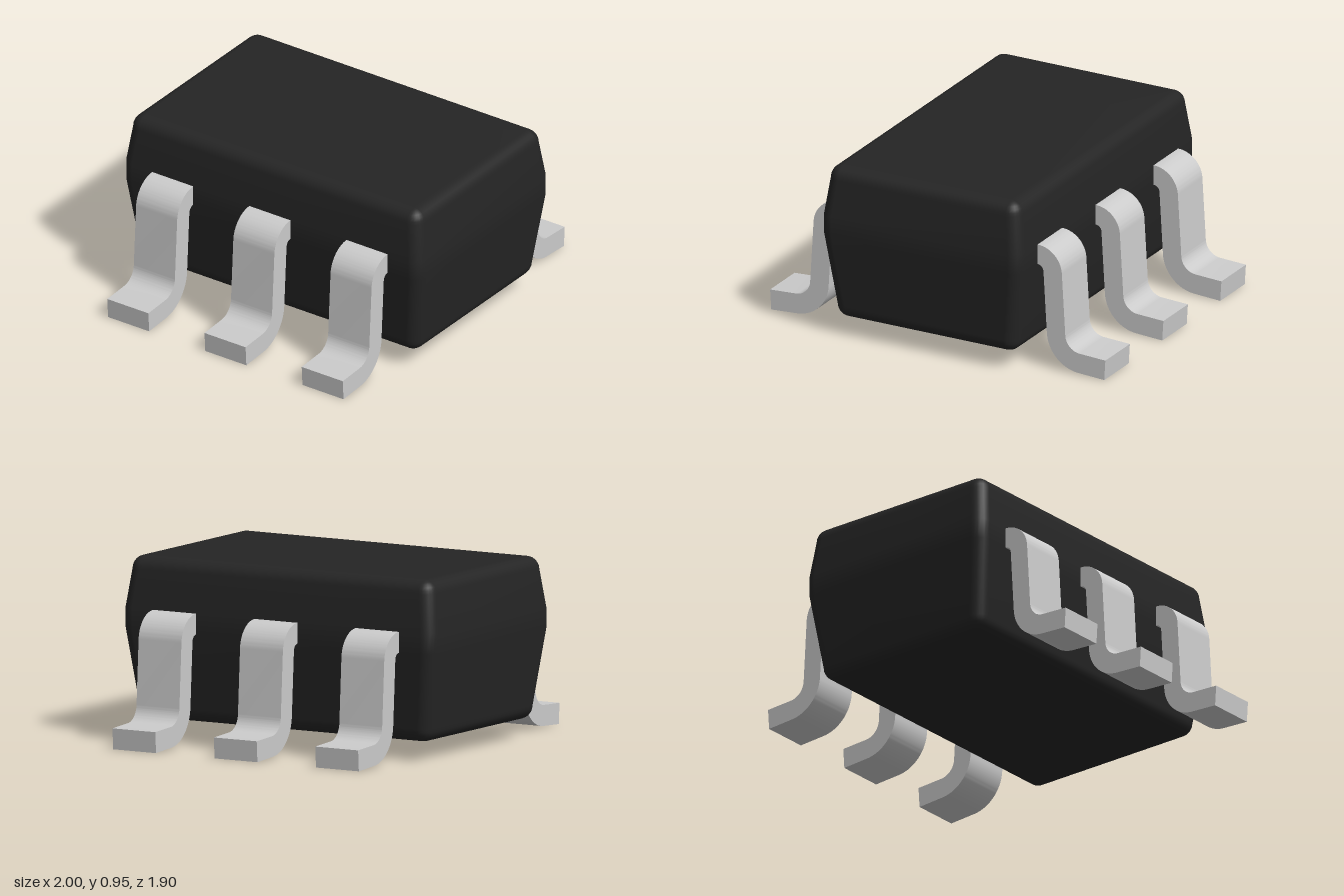
import * as THREE from 'three';
import { toCreasedNormals } from 'three/addons/utils/BufferGeometryUtils.js';

const HALF_X = 0.595, HALF_Z = 0.95, ROUND = 0.07;
const BOTTOM = 0.1, TOP = 0.955, STEPS = 6;

// Moulded body: stacked rounded rectangles, drafted above and below a straight belt
function bodyGeometry() {
  const rings = []; // [inset of wall, corner radius, y]
  for (let i = 0; i <= STEPS; i++) {
    const t = (i / STEPS) * Math.PI / 2;
    rings.push([0.052, ROUND * Math.sin(t), BOTTOM + ROUND * (1 - Math.cos(t))]);
  }
  rings.push([0, ROUND, 0.575], [0, ROUND, 0.685]);
  for (let i = 0; i <= STEPS; i++) {
    const t = (i / STEPS) * Math.PI / 2;
    rings.push([0.026, ROUND * Math.cos(t), TOP - ROUND * (1 - Math.sin(t))]);
  }

  const positions = [], index = [];
  const count = 4 * (STEPS + 1);
  for (const [inset, radius, y] of rings) {
    const cx = HALF_X - ROUND - inset, cz = HALF_Z - ROUND - inset;
    for (let q = 0; q < 4; q++) {
      const sx = q === 0 || q === 3 ? 1 : -1, sz = q < 2 ? 1 : -1;
      for (let i = 0; i <= STEPS; i++) {
        const a = (q + i / STEPS) * Math.PI / 2;
        positions.push(sx * cx + radius * Math.cos(a), y, sz * cz + radius * Math.sin(a));
      }
    }
  }
  for (let r = 0; r < rings.length - 1; r++) {
    for (let j = 0; j < count; j++) {
      const a = r * count + j, b = r * count + (j + 1) % count;
      index.push(a, a + count, b, b, a + count, b + count);
    }
  }
  // flat bottom and top
  const low = positions.length / 3, high = low + 1, last = (rings.length - 1) * count;
  positions.push(0, BOTTOM, 0, 0, TOP, 0);
  for (let j = 0; j < count; j++) {
    const k = (j + 1) % count;
    index.push(low, j, k, high, last + k, last + j);
  }
  const geometry = new THREE.BufferGeometry();
  geometry.setAttribute('position', new THREE.Float32BufferAttribute(positions, 3));
  geometry.setIndex(index);
  geometry.computeVertexNormals();
  return geometry;
}

// Gull-wing lead: side outline with two concentric-arc bends, extruded across its width
function leadGeometry(width) {
  const tilt = 0.055;
  const shape = new THREE.Shape();
  shape.moveTo(0.45, 0.69);
  shape.lineTo(0.595, 0.69);
  shape.absarc(0.595, 0.545, 0.145, Math.PI / 2, tilt, true);
  shape.absarc(0.85, 0.215, 0.09, Math.PI + tilt, Math.PI * 1.5 - tilt, false);
  shape.lineTo(0.999, 0.117);
  shape.lineTo(0.992, 0.006);
  shape.absarc(0.85, 0.215, 0.2, Math.PI * 1.5 - tilt, Math.PI + tilt, true);
  shape.absarc(0.595, 0.545, 0.035, tilt, Math.PI / 2, false);
  shape.lineTo(0.45, 0.58);
  shape.closePath();
  const geometry = new THREE.ExtrudeGeometry(shape, { depth: width, bevelEnabled: false, curveSegments: 14 });
  geometry.translate(0, -0.006, -width / 2);
  return toCreasedNormals(geometry, 0.5);
}

export function createModel() {
  const model = new THREE.Group();
  model.name = 'chipPackage';

  const body = new THREE.Mesh(bodyGeometry(), new THREE.MeshStandardMaterial({ color: 0x252525 }));
  body.name = 'body';
  model.add(body);

  // three leads along each long side
  const geometry = leadGeometry(0.262);
  const metal = new THREE.MeshStandardMaterial({ color: 0xcccccc });
  for (const side of ['left', 'right']) {
    const row = new THREE.Group();
    row.name = side + 'Leads';
    if (side === 'right') row.rotation.y = Math.PI;
    for (let i = -1; i <= 1; i++) {
      const lead = new THREE.Mesh(geometry, metal);
      lead.name = side + 'Lead' + (i + 2);
      lead.position.z = i * 0.62;
      row.add(lead);
    }
    model.add(row);
  }
  return model;
}
